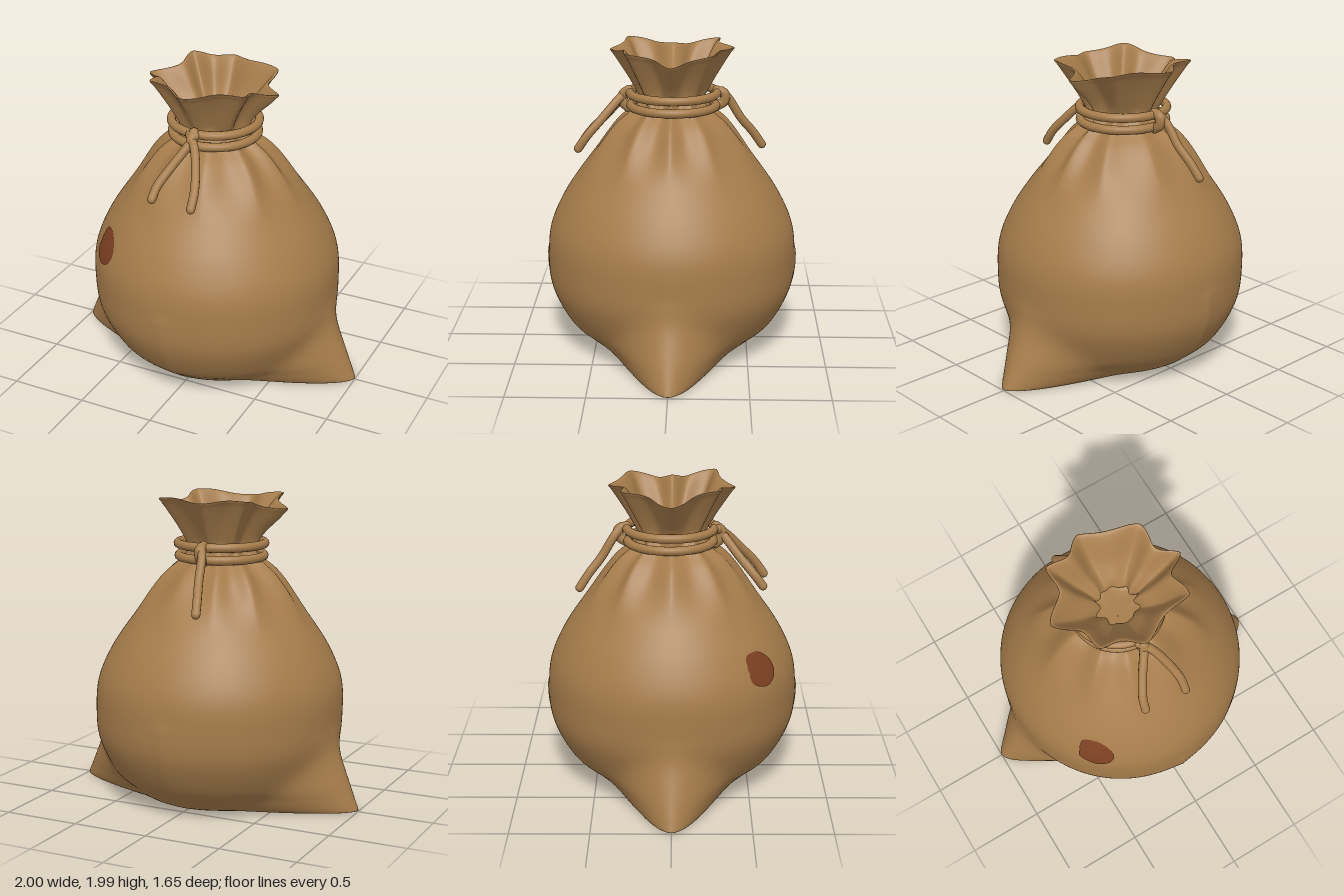
import * as THREE from 'three';

const TAU = Math.PI * 2;
const { smoothstep: smooth, lerp } = THREE.MathUtils;

// Sack section (radius, height): up the outside, over the rim, down the inside
const profile = new THREE.SplineCurve([
  [0.44, 0.008], [0.5, 0.035], [0.585, 0.1], [0.69, 0.2], [0.79, 0.4], [0.812, 0.6], [0.795, 0.8],
  [0.71, 1.0], [0.578, 1.2], [0.43, 1.4], [0.345, 1.5], [0.26, 1.57], [0.215, 1.63], [0.22, 1.69],
  [0.27, 1.79], [0.345, 1.91], [0.375, 1.95], [0.36, 1.952], [0.325, 1.91], [0.245, 1.79],
  [0.145, 1.68], [0.13, 1.62], [0.2, 1.52], [0.19, 1.46], [0.002, 1.45],
].map(([r, y]) => new THREE.Vector2(r, y))).getPoints(192);

function outerRadius(y) {
  const i = profile.findIndex((p) => p.y >= y);
  const a = profile[i - 1], b = profile[i];
  return lerp(a.x, b.x, (y - a.y) / (b.y - a.y));
}

// Reach of the two pointed bottom corners at an angle and height, as a lens-shaped section
function cornerReach(angle, y, bodyRadius) {
  const c = Math.abs(Math.cos(angle)), s = Math.abs(Math.sin(angle));
  const tip = 1.005 - 0.45 * y - 0.5 * Math.max(0, y - 0.5);
  const depth = bodyRadius * 0.97;
  let lo = 0, hi = 1.2;
  for (let i = 0; i < 24; i++) {
    const r = (lo + hi) / 2;
    if (r * c / tip + Math.pow(r * s / depth, 1.7) < 1) lo = r; else hi = r;
  }
  return lo;
}

// Ridges pinched into the cloth, -1 in the hollows and 1 on the crests
function pinch(count, angle) {
  const wave = Math.sin(count / 2 * angle + 0.3 * Math.sin(3 * angle));
  return 1 - 2 * Math.pow(Math.abs(wave), 1.35);
}

// A point of the cloth, with corners low down and gathers round the neck
function clothPoint(angle, r, y, offset = 0) {
  let radius = r;
  if (y < 0.95) {
    const e = cornerReach(angle, y, r) * (1 - smooth(y, 0.6, 0.95));
    radius = Math.pow(Math.pow(r, 24) + Math.pow(e, 24), 1 / 24);
  }
  const fold = lerp(pinch(10, angle), pinch(8, angle), smooth(y, 1.56, 1.72));
  const uneven = 0.8 + 0.3 * Math.sin(2 * angle + 1);
  let amount = 0.028 * smooth(y, 1.15, 1.45);
  if (y > 1.62) amount += 0.02 * smooth(y, 1.65, 1.92);
  radius += fold * uneven * amount * Math.min(1, r / 0.16);
  const flare = smooth(y, 1.7, 1.95);
  const lift = flare * (0.008 - 0.022 * Math.cos(4 * angle) - 0.02 * Math.cos(2 * angle)
    + 0.006 * Math.sin(3 * angle));
  radius += offset;
  return new THREE.Vector3(
    Math.cos(angle) * radius * (1 + 0.06 * flare) - 0.02 * y, y + lift, Math.sin(angle) * radius);
}

// Closed rings of points joined into one smooth skin
function loft(rows, cols, pointAt) {
  const pos = [], index = [];
  for (let v = 0; v < rows; v++) {
    for (let u = 0; u < cols; u++) pos.push(...pointAt(u / cols, v).toArray());
  }
  for (let v = 0; v < rows - 1; v++) {
    for (let u = 0; u < cols; u++) {
      const a = v * cols + u, b = v * cols + (u + 1) % cols;
      index.push(a, a + cols, b, b, a + cols, b + cols);
    }
  }
  const g = new THREE.BufferGeometry();
  g.setAttribute('position', new THREE.Float32BufferAttribute(pos, 3));
  g.setIndex(index);
  g.computeVertexNormals();
  return g;
}

export function createModel() {
  const group = new THREE.Group();
  const burlap = new THREE.MeshStandardMaterial({ color: 0xa67c4b });
  const stainColor = new THREE.MeshStandardMaterial({ color: 0x7c4022 });
  burlap.name = 'burlap';
  stainColor.name = 'rust brown';

  function add(name, geometry, material = burlap) {
    const mesh = new THREE.Mesh(geometry, material);
    mesh.name = name;
    group.add(mesh);
    return mesh;
  }

  // Cloth: underside spreading from the middle, then body and gathered mouth
  const baseRows = 6;
  add('sack', loft(baseRows + profile.length, 240, (u, v) => {
    const { x, y } = profile[Math.max(0, v - baseRows)];
    const p = clothPoint(u * TAU, x, y);
    const spread = Math.min(1, v / baseRows);
    return p.set(p.x * spread, v < baseRows ? 0.001 : p.y, p.z * spread);
  }));

  // Stain lying on the front of the cloth
  const outline = [0.085, 0.095, 0.11, 0.105, 0.08, 0.08, 0.115, 0.11, 0.09, 0.08];
  add('stain', loft(8, 40, (u, v) => {
    const f = u * outline.length, i = Math.floor(f);
    const size = lerp(outline[i], outline[(i + 1) % outline.length], f - i) * v / 7;
    const x = -0.53 + Math.cos(u * TAU) * size;
    const y = 0.905 + Math.sin(u * TAU) * size;
    const r = outerRadius(y);
    return clothPoint(Math.acos((x + 0.02 * y) / (r + 0.007)), r, y, 0.007);
  }), stainColor);

  // Rope wound twice round the neck
  [[1.6, 0.275], [1.68, 0.28]].forEach(([y, r], i) => {
    const ring = add('ropeRing' + (i + 1), new THREE.TorusGeometry(r, 0.029, 12, 72));
    ring.rotation.x = Math.PI / 2;
    ring.position.set(-0.03, y, -0.01);
  });

  // Rope ends and the loops that tie them, with rounded tips
  function rope(name, points, radius = 0.028) {
    const path = points.map((p) => new THREE.Vector3(...p));
    add(name, new THREE.TubeGeometry(new THREE.CatmullRomCurve3(path), 32, radius, 12));
    for (const end of [path[0], path[path.length - 1]]) {
      add(name + 'Tip', new THREE.SphereGeometry(radius, 12, 8)).position.copy(end);
    }
  }
  rope('frontRopeEndRight', [[-0.02, 1.68, 0.29], [-0.05, 1.62, 0.34], [-0.12, 1.5, 0.44], [-0.17, 1.4, 0.53], [-0.18, 1.335, 0.58]]);
  rope('frontRopeEndLeft', [[-0.06, 1.68, 0.29], [0.0, 1.63, 0.35], [0.06, 1.52, 0.45], [0.095, 1.42, 0.54], [0.1, 1.335, 0.6]]);
  rope('backRopeEnd', [[-0.04, 1.69, -0.32], [-0.07, 1.63, -0.37], [-0.09, 1.5, -0.45], [-0.12, 1.4, -0.53], [-0.14, 1.31, -0.59]]);
  rope('frontKnot', [[-0.035, 1.58, 0.28], [-0.035, 1.61, 0.31], [-0.035, 1.66, 0.315], [-0.035, 1.69, 0.28]], 0.034);
  rope('backKnot', [[-0.04, 1.59, -0.29], [-0.04, 1.62, -0.335], [-0.04, 1.67, -0.34], [-0.04, 1.69, -0.29]], 0.033);

  return group;
}
